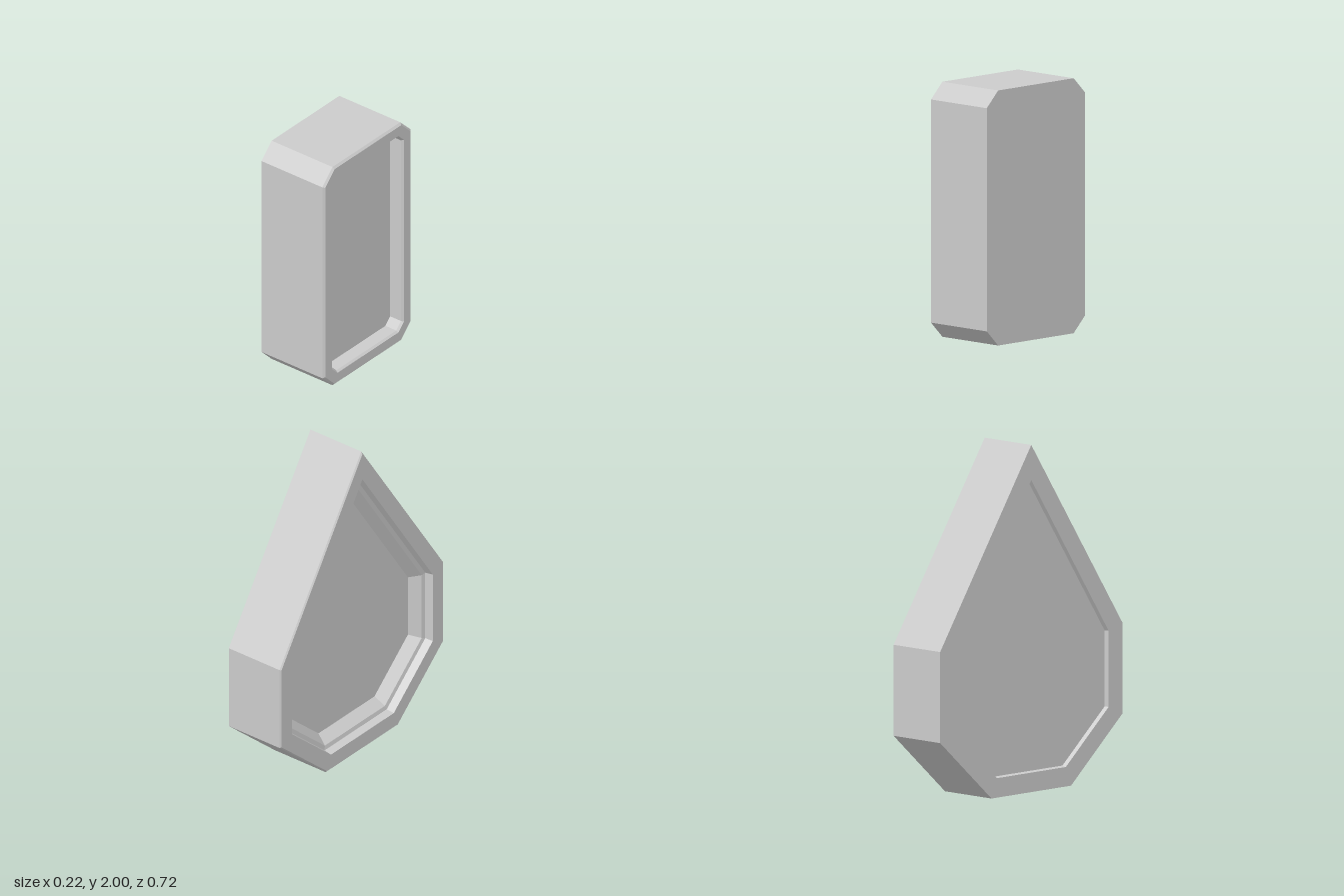
import * as THREE from 'three';

// Mirrors a half outline [u, y] (bottom to top, u >= 0) into a full counter-clockwise one.
function mirrored(half) {
  const other = half.filter(([u]) => u > 0).reverse().map(([u, y]) => [-u, y]);
  return [...half, ...other];
}

// Moves every edge of a convex outline inwards by d.
function inset(outline, d) {
  const n = outline.length;
  const normal = (a, b) => {
    const l = Math.hypot(b[0] - a[0], b[1] - a[1]);
    return [-(b[1] - a[1]) / l, (b[0] - a[0]) / l];
  };
  return outline.map((p, i) => {
    const m = normal(outline[(i + n - 1) % n], p);
    const k = normal(p, outline[(i + 1) % n]);
    const s = d / (1 + m[0] * k[0] + m[1] * k[1]);
    return [p[0] + (m[0] + k[0]) * s, p[1] + (m[1] + k[1]) * s];
  });
}

// Lofts an outline along x through [inset, x] steps and caps both ends.
function loft(outline, steps, name) {
  const rings = steps.map(([d, x]) => inset(outline, d).map(([u, y]) => [x, y, -u]));
  const n = outline.length;
  const pos = [];
  const tri = (a, b, c) => pos.push(...a, ...b, ...c);
  for (let r = 0; r < rings.length - 1; r++) {
    const a = rings[r], b = rings[r + 1];
    for (let i = 0; i < n; i++) {
      const j = (i + 1) % n;
      tri(a[i], a[j], b[j]);
      tri(a[i], b[j], b[i]);
    }
  }
  const first = rings[0], last = rings[rings.length - 1];
  for (let i = 1; i < n - 1; i++) {
    tri(first[0], first[i + 1], first[i]);
    tri(last[0], last[i], last[i + 1]);
  }
  const geometry = new THREE.BufferGeometry();
  geometry.setAttribute('position', new THREE.Float32BufferAttribute(pos, 3));
  geometry.computeVertexNormals();
  const mesh = new THREE.Mesh(geometry,
    new THREE.MeshStandardMaterial({ color: 0xcccccc, flatShading: true }));
  mesh.name = name;
  return mesh;
}

export function createModel() {
  const model = new THREE.Group();
  model.name = 'exclamationMark';

  // Upper bar: chamfered block with a shallow recess on the +x face
  const bar = mirrored([[0.15, 1.28], [0.195, 1.325], [0.195, 1.955], [0.15, 2]]);
  model.add(loft(bar, [
    [0, -0.113], [0, 0.105], [0.006, 0.111],
    [0.036, 0.111], [0.041, 0.105], [0.041, 0.066],
  ], 'upperBar'));

  // Lower drop: pointed body, stepped recess on +x, thin recess on -x
  const drop = mirrored([[0.158, 0], [0.362, 0.18], [0.362, 0.437], [0, 0.98]]);
  model.add(loft(drop, [
    [0.058, -0.083], [0.055, -0.095], [0, -0.095],
    [0, 0.087], [0.004, 0.091],
    [0.05, 0.091], [0.054, 0.067], [0.066, 0.064], [0.09, 0.034],
  ], 'lowerDrop'));

  return model;
}
